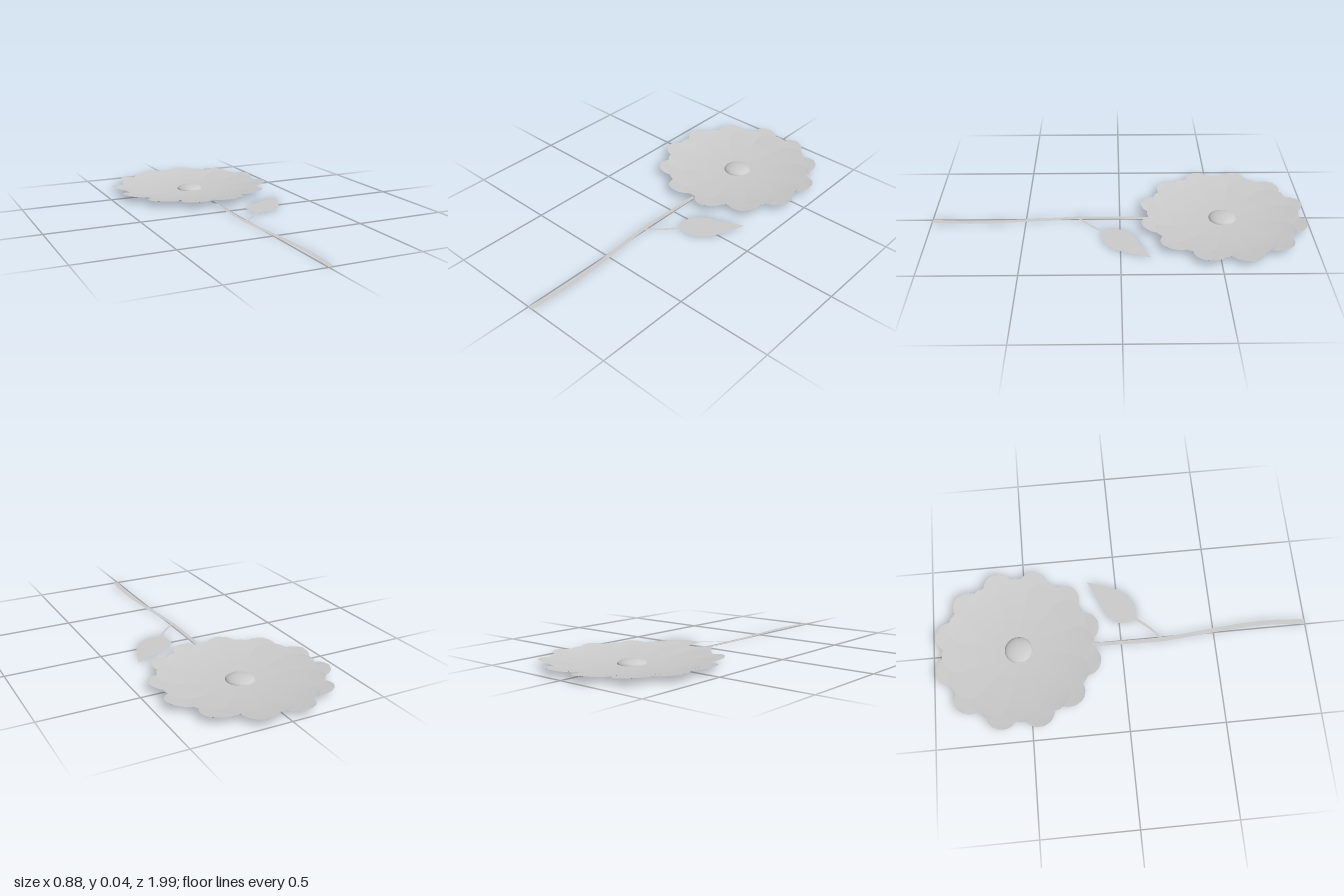
import * as THREE from 'three';

const material = new THREE.MeshStandardMaterial({ color: 0xcccccc, side: THREE.DoubleSide });

function add(parent, name, geometry) {
  const mesh = new THREE.Mesh(geometry, material);
  mesh.name = name;
  parent.add(mesh);
  return mesh;
}

// Surface from a rule: point(u, v) gives [x, y, z] for u, v in 0..1
function sheet(nu, nv, point) {
  const geometry = new THREE.PlaneGeometry(1, 1, nu, nv);
  const pos = geometry.attributes.position;
  for (let i = 0; i < pos.count; i++) {
    pos.setXYZ(i, ...point(pos.getX(i) + 0.5, 0.5 - pos.getY(i)));
  }
  geometry.computeVertexNormals();
  return geometry;
}

// Upturned petal pointing along +z, narrow at the root with a rounded tip
function petalGeometry(length, halfWidth, rise, base) {
  return sheet(8, 20, (u, v) => {
    const s = 1 - (1 - v) ** 1.5;
    const t = 2 * u - 1;
    const body = 0.15 + 0.85 * Math.sin(Math.PI / 2 * Math.min(1, s / 0.78));
    const tip = s < 0.78 ? 1 : Math.sqrt(Math.max(0, 1 - ((s - 0.78) / 0.22) ** 2));
    const x = t * halfWidth * body * tip;
    const z = s * length;
    const y = base + rise * s ** 2.3 + 0.0012 * (t + 1) * s;
    return [x, y, z];
  });
}

// Flat ribbon following points [x, z]
function ribbon(points, y, startHalf, endHalf) {
  const curve = new THREE.CatmullRomCurve3(points.map(([x, z]) => new THREE.Vector3(x, y, z)));
  return sheet(1, 40, (u, v) => {
    const p = curve.getPoint(v);
    const d = curve.getTangent(v);
    const w = (2 * u - 1) * THREE.MathUtils.lerp(startHalf, endHalf, v);
    return [p.x + d.z * w, y, p.z - d.x * w];
  });
}

export function createModel() {
  const model = new THREE.Group();
  model.name = 'flower';

  // Flower head: two staggered rings of petals round a low dome
  const head = new THREE.Group();
  head.name = 'flowerHead';
  head.position.set(0, 0, -0.55);
  model.add(head);
  const rings = [
    { name: 'outerPetal', length: 0.45, half: 0.088, rise: 0.033, base: 0, turn: 14 },
    { name: 'innerPetal', length: 0.405, half: 0.105, rise: 0.03, base: 0.003, turn: -1 },
  ];
  for (const ring of rings) {
    const geometry = petalGeometry(ring.length, ring.half, ring.rise, ring.base);
    for (let i = 0; i < 12; i++) {
      const petal = add(head, ring.name, geometry);
      petal.rotation.y = THREE.MathUtils.degToRad(180 + ring.turn - 30 * i);
    }
  }
  const dome = [];
  for (let i = 0; i <= 8; i++) {
    const a = (i / 8) * Math.PI / 2;
    dome.push(new THREE.Vector2(0.074 * Math.cos(a), 0.003 + 0.024 * Math.sin(a)));
  }
  add(head, 'flowerCentre', new THREE.LatheGeometry(dome, 32));

  // Stem and leaf stalk, thin flat strips
  add(model, 'stem', ribbon([[-0.006, -0.17], [-0.011, 0.02], [-0.013, 0.2], [0.003, 0.41],
    [0.02, 0.6], [0.027, 0.8], [0.014, 1]], 0.002, 0.01, 0.014));
  add(model, 'leafStalk', ribbon([[-0.006, 0.218], [0.05, 0.17], [0.1, 0.115], [0.13, 0.075]],
    0.002, 0.006, 0.008));

  // Leaf: curved outline with shallow teeth on both edges
  const outline = new THREE.CatmullRomCurve3([
    [0.115, 0.09], [0.103, 0.04], [0.108, -0.01], [0.165, -0.068], [0.245, -0.1], [0.36, -0.155],
  ].map(([x, z]) => new THREE.Vector3(x, 0, z)));
  const otherSide = new THREE.CatmullRomCurve3([
    [0.115, 0.09], [0.16, 0.097], [0.21, 0.09], [0.28, 0.035], [0.322, -0.05], [0.36, -0.155],
  ].map(([x, z]) => new THREE.Vector3(x, 0, z)));
  add(model, 'leaf', sheet(4, 42, (u, v) => {
    const a = outline.getPoint(v);
    const b = otherSide.getPoint(v);
    const tooth = 0.04 * ((v * 7) % 1) * Math.sin(Math.PI * v);
    const p = a.lerp(b, 0.5 + (u - 0.5) * (1 + tooth));
    return [p.x, 0.002, p.z];
  }));

  return model;
}
